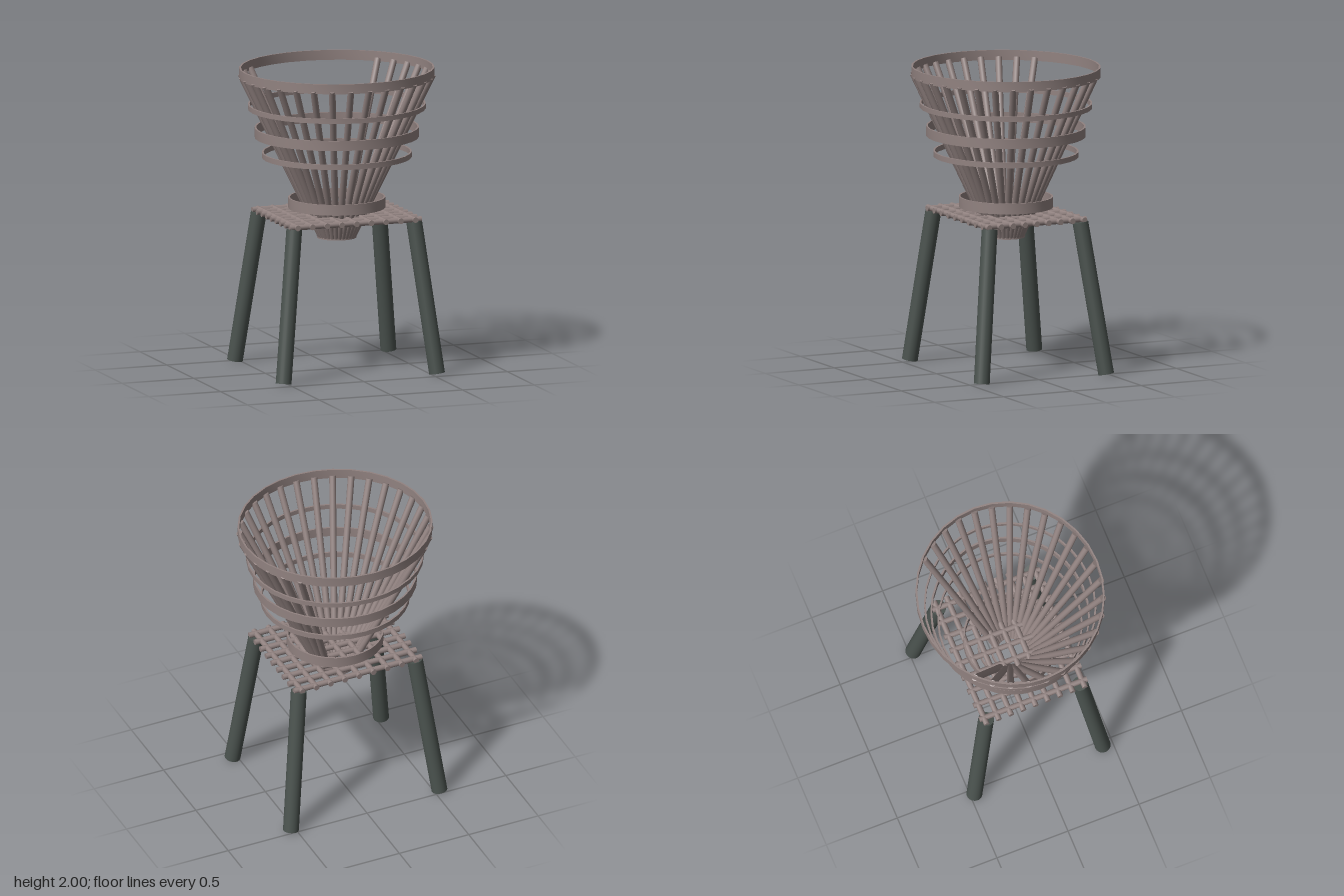
import * as THREE from 'three';
import { toCreasedNormals } from 'three/addons/utils/BufferGeometryUtils.js';

const DEPTH = 0.957; // basket is slightly elliptical in z
const BASKET_Z = -0.005;

export function createModel() {
  const wicker = new THREE.MeshStandardMaterial({ color: 0x918280 });
  wicker.name = 'warm grey cane';
  const darkWood = new THREE.MeshStandardMaterial({ color: 0x4b534f });
  darkWood.name = 'dark green grey wood';

  const model = new THREE.Group();
  model.name = 'basketStand';
  const V = (x, y, z) => new THREE.Vector3(x, y, z);

  // Round rod between two points
  function rod(name, a, b, radius, sides, material, parent) {
    const dir = b.clone().sub(a);
    const mesh = new THREE.Mesh(new THREE.CylinderGeometry(radius, radius, dir.length(), sides), material);
    mesh.position.copy(a).add(b).multiplyScalar(0.5);
    mesh.quaternion.setFromUnitVectors(V(0, 1, 0), dir.normalize());
    mesh.name = name;
    parent.add(mesh);
  }

  // Basket: hollow hoops
  const basket = new THREE.Group();
  basket.name = 'basket';
  basket.position.z = BASKET_Z;
  model.add(basket);
  const hoops = [ // outer radius, bottom, top
    [0.642, 1.935, 2.0],
    [0.585, 1.728, 1.76],
    [0.541, 1.54, 1.605],
    [0.493, 1.405, 1.44],
    [0.32, 1.07, 1.14],
    [0.222, 0.975, 1.005],
    [0.129, 0.87, 0.906],
  ];
  for (const [r, y0, y1] of hoops) {
    const inner = r - 0.012;
    const profile = [[inner, y0], [r, y0], [r, y1], [inner, y1], [inner, y0]]
      .map(([x, y]) => new THREE.Vector2(x, y));
    const geometry = new THREE.LatheGeometry(profile, 32);
    geometry.scale(1, 1, DEPTH);
    const hoop = new THREE.Mesh(toCreasedNormals(geometry, 0.6), wicker);
    hoop.name = 'hoop';
    basket.add(hoop);
  }

  // Basket: leaning slats, leaving the back open
  for (let i = -12; i <= 12; i++) {
    const a = (i * Math.PI) / 16;
    const at = (r, y) => V(r * Math.sin(a), y, r * Math.cos(a) * DEPTH);
    rod('slat', at(0.106, 0.88), at(0.63, 1.953), 0.022, 12, wicker, basket);
  }

  // Seat lattice of crossing rods
  const lattice = new THREE.Group();
  lattice.name = 'seatLattice';
  lattice.position.set(0, 1.021, -0.008);
  model.add(lattice);
  for (let i = -4; i <= 4; i++) {
    const x = i * 0.1025, z = i * 0.0865;
    rod('lengthRod', V(x, 0, -0.378), V(x, 0, 0.378), 0.019, 12, wicker, lattice);
    rod('crossRod', V(-0.46, 0, z), V(0.46, 0, z), 0.019, 12, wicker, lattice);
  }

  // Splayed legs
  for (const side of [-1, 1]) {
    rod('frontLeg', V(side * 0.535, 0.008, 0.432), V(side * 0.418, 1.005, 0.318), 0.052, 24, darkWood, model);
    rod('backLeg', V(side * 0.535, 0.008, -0.472), V(side * 0.418, 1.005, -0.342), 0.052, 24, darkWood, model);
  }

  return model;
}
